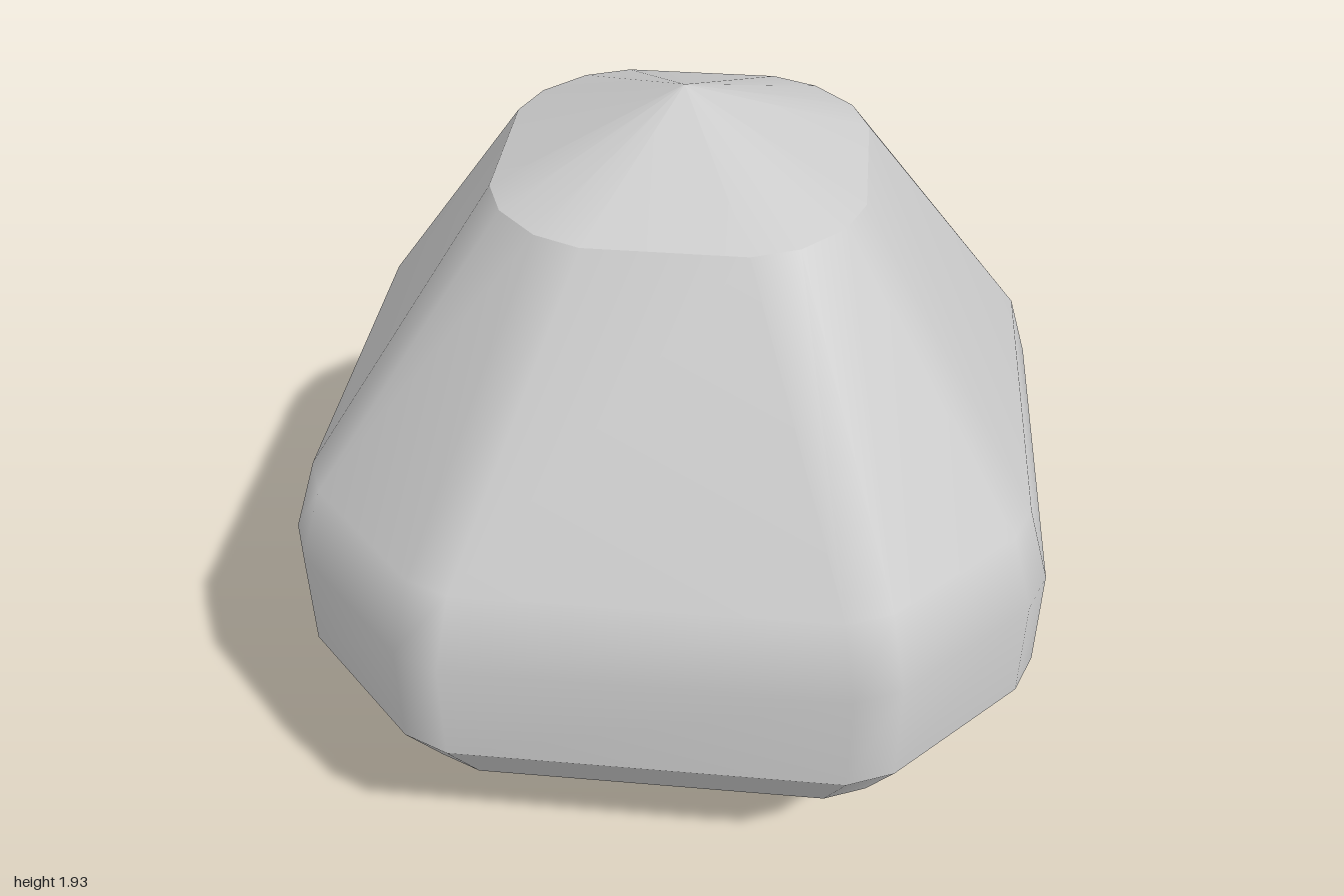
import * as THREE from 'three';

// Rings: height, half width, and the two corner coordinates (as fractions of the half width)
const UNDER = [[0, 0, 0.51, 0.63], [0.14, 0.45, 0.51, 0.63], [0.34, 0.9, 0.51, 0.63]];
const BEVEL = [[0.34, 0.9, 0.51, 0.63], [0.52, 1, 0.51, 0.63]];
const BODY = [[0.52, 1, 0.51, 0.63], [0.82, 1, 0.51, 0.63], [1.02, 0.94, 0.51, 0.63], [1.73, 0.47, 0.43, 0.68]];
const CAP = [[1.73, 0.47, 0.43, 0.68], [1.93, 0, 0.43, 0.68]];

// Square with bevelled corners: four points per corner, 16 in all
function ringPoints([y, r, a, b]) {
  const d = a < 0.5 ? 0.9 : 0.95;
  const corner = [[1, a], [d, b], [b, d], [a, 1]];
  const points = [];
  for (let q = 0; q < 4; q++) {
    for (let [x, z] of corner) {
      for (let k = 0; k < q; k++) [x, z] = [-z, x];
      points.push(x * r, y, z * r);
    }
  }
  return points;
}

// Smooth skin through the rings; separate skins keep a sharp edge between them
function skin(name, rings, material) {
  const n = 16;
  const index = [];
  for (let i = 0; i < rings.length - 1; i++) {
    for (let j = 0; j < n; j++) {
      const a = i * n + j;
      const b = i * n + (j + 1) % n;
      if (rings[i][1] > 0) index.push(a, a + n, b);
      if (rings[i + 1][1] > 0) index.push(b, a + n, b + n);
    }
  }
  const geometry = new THREE.BufferGeometry();
  geometry.setAttribute('position', new THREE.Float32BufferAttribute(rings.flatMap(ringPoints), 3));
  geometry.setIndex(index);
  geometry.computeVertexNormals();
  const mesh = new THREE.Mesh(geometry, material);
  mesh.name = name;
  return mesh;
}

export function createModel() {
  const group = new THREE.Group();
  group.name = 'facetedStone';
  const material = new THREE.MeshStandardMaterial({ color: 0xcccccc });
  group.add(
    skin('underside', UNDER, material),
    skin('lowerBevel', BEVEL, material),
    skin('body', BODY, material),
    skin('topCap', CAP, material)
  );
  return group;
}
